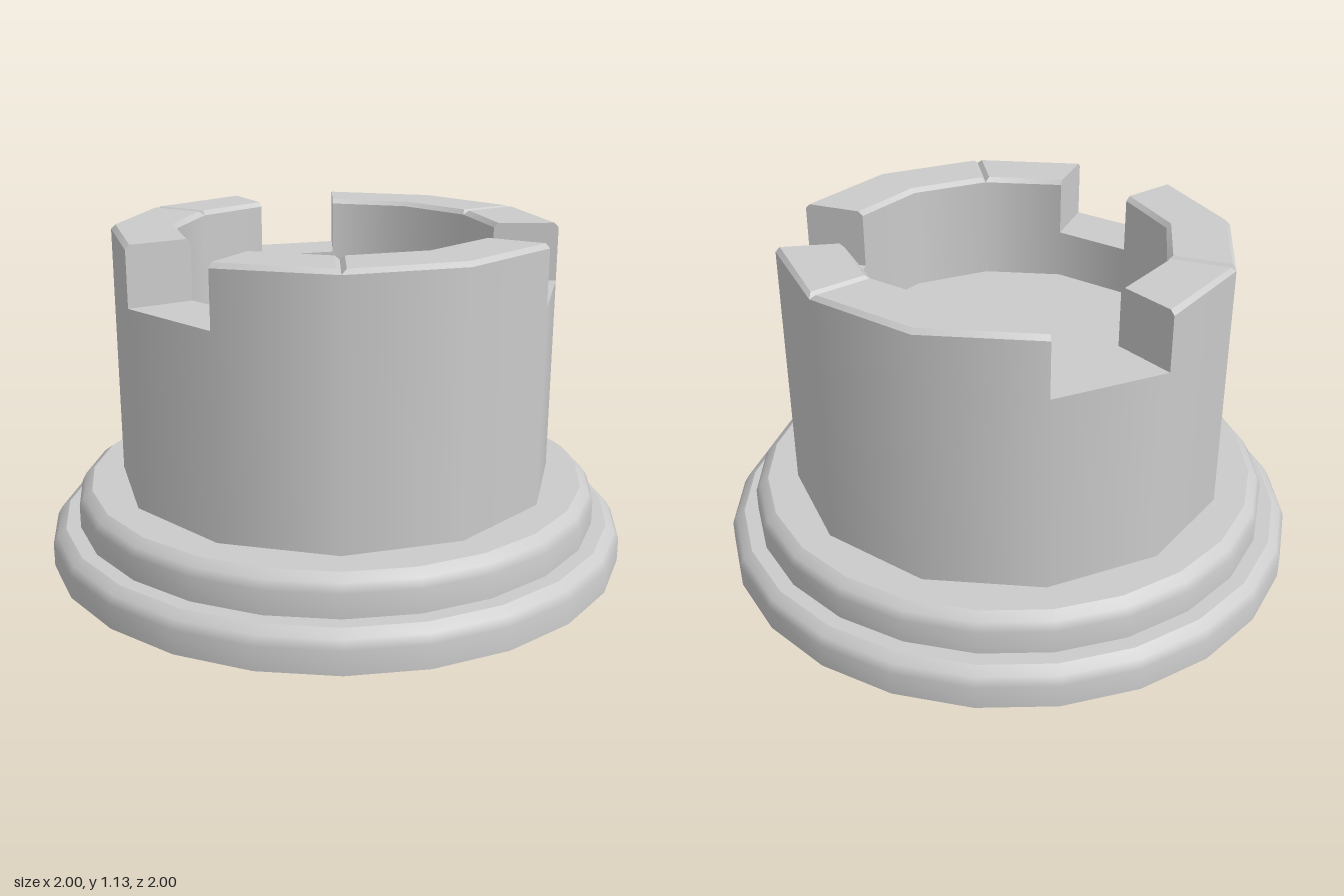
import * as THREE from 'three';

const material = new THREE.MeshStandardMaterial({ color: 0xcccccc });
const capMaterial = new THREE.MeshStandardMaterial({ color: 0xcccccc, side: THREE.DoubleSide });

const RO = 0.755, RI = 0.535;              // outer and inner wall radius
const FLOOR = 0.76, SILL = 0.93, TOP = 1.13;
const BEVEL = 0.015;
const STEP = Math.PI / 6;                  // one side of the 12-sided wall

// Point at radius r and height y, slid sideways along the rim by s
function rimPoint(r, y, phi, s = 0) {
  return new THREE.Vector3(
    r * Math.sin(phi) + s * Math.cos(phi), y, r * Math.cos(phi) - s * Math.sin(phi));
}

// Swept strip through a short profile, smooth around the axis
function band(name, profile, sides, start = 0, length = Math.PI * 2) {
  const pts = profile.map(([r, y]) => new THREE.Vector2(r, y));
  const mesh = new THREE.Mesh(new THREE.LatheGeometry(pts, sides, start, length), material);
  mesh.name = name;
  return mesh;
}

// Flat convex face from a fan of corners
function face(name, corners) {
  const tris = [];
  for (let i = 1; i < corners.length - 1; i++) tris.push(corners[0], corners[i], corners[i + 1]);
  const geometry = new THREE.BufferGeometry().setFromPoints(tris);
  geometry.computeVertexNormals();
  const mesh = new THREE.Mesh(geometry, capMaterial);
  mesh.name = name;
  return mesh;
}

// Round-edged disc step of the plinth
function plinthStep(name, r, y0, y1, innerR) {
  const group = new THREE.Group();
  group.name = name;
  group.add(
    band('rim', [[r, y0], [r, y1 - 0.05], [r - 0.015, y1 - 0.022], [r - 0.045, y1]], 24),
    band('ledge', [[r - 0.045, y1], [innerR, y1]], 24));
  return group;
}

// Battlement block: one end is bevelled at a groove, the other drops into a gap
function merlon(start, sides, grooveAtStart) {
  const group = new THREE.Group();
  group.name = 'merlon';
  const profile = [[RO, SILL], [RO, TOP - BEVEL], [RO - BEVEL, TOP],
    [RI + BEVEL, TOP], [RI, TOP - BEVEL], [RI, SILL]];
  const end = start + sides * STEP;
  const groovePhi = grooveAtStart ? start : end;
  const gapPhi = grooveAtStart ? end : start;
  const grooveColumn = grooveAtStart ? 0 : sides;
  const slide = grooveAtStart ? BEVEL : -BEVEL;

  for (let i = 0; i < profile.length - 1; i++) {
    const strip = band('merlonSide', [profile[i], profile[i + 1]], sides, start, sides * STEP);
    const pos = strip.geometry.attributes.position;
    // pull the top corners back from the groove
    for (let j = 0; j < 2; j++) {
      const [r, y] = profile[i + j];
      if (y < TOP) continue;
      const p = rimPoint(r, y, groovePhi, slide);
      pos.setXYZ(grooveColumn * 2 + j, p.x, p.y, p.z);
    }
    group.add(strip);
  }
  group.add(
    face('gapEnd', profile.map(([r, y]) => rimPoint(r, y, gapPhi))),
    face('grooveBevel', profile.slice(1, 5).map(([r, y]) =>
      rimPoint(r, y, groovePhi, y === TOP ? slide : 0))));
  return group;
}

export function createModel() {
  const model = new THREE.Group();
  model.name = 'towerTop';

  // Stepped plinth
  model.add(
    band('underside', [[0, 0], [1, 0]], 24),
    plinthStep('lowerStep', 1, 0, 0.13, 0.85),
    plinthStep('upperStep', 0.905, 0.13, 0.26, 0.7));

  // Wall and sunken floor
  model.add(
    band('outerWall', [[RO, 0.26], [RO, SILL]], 12),
    band('innerWall', [[RI, SILL], [RI, FLOOR]], 12),
    band('floor', [[RI, FLOOR], [0, FLOOR]], 12));

  // Three repeats of a long block, a gap and a short block
  for (let k = 0; k < 3; k++) {
    const groove = Math.PI / 2 + k * 4 * STEP;
    model.add(
      merlon(groove, 2, true),
      merlon(groove - STEP, 1, false),
      band('gapSill', [[RO, SILL], [RI, SILL]], 1, groove + 2 * STEP, STEP));
  }
  return model;
}
